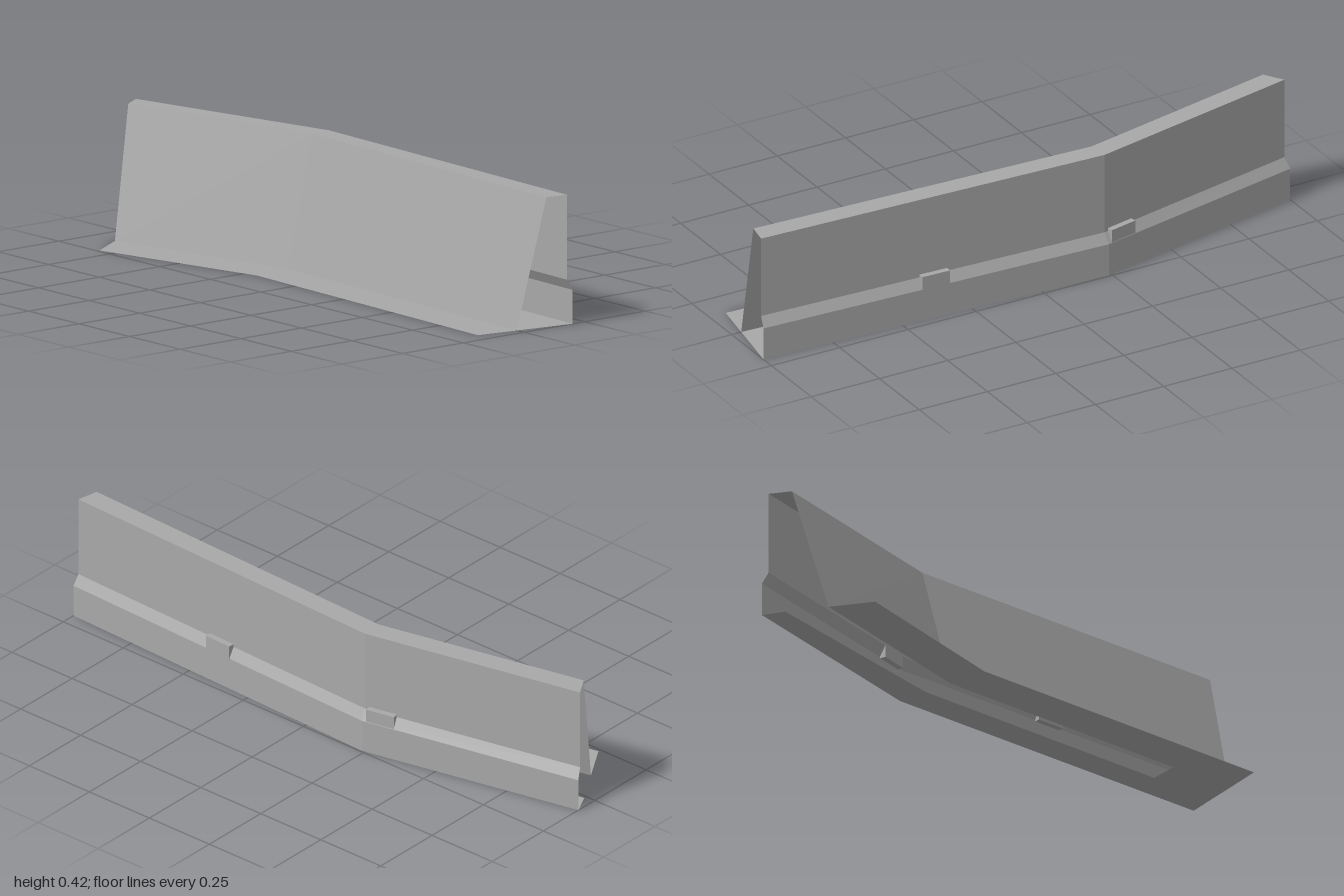
import * as THREE from 'three';

const concrete = new THREE.MeshStandardMaterial({ color: 0xa8a8a8, side: THREE.DoubleSide });
concrete.name = 'concrete grey';

// Long edges of the wall: points at the right end, the bend and the left end
const edges = {
  footFront: [[-0.81, 0, 0.24], [-0.2, 0, 0.1], [0.94, 0, 0.14]],
  panelBase: [[-0.89, 0, 0.11], [-0.215, 0, -0.04], [0.965, 0, 0]],
  panelTop: [[-0.95, 0.42, 0.005], [-0.23, 0.42, -0.153], [0.983, 0.42, -0.107]],
  backTop: [[-0.99, 0.42, -0.06], [-0.235, 0.42, -0.225], [0.997, 0.42, -0.18]],
  backLow: [[-0.99, 0.145, -0.06], [-0.235, 0.145, -0.225], [0.997, 0.145, -0.18]],
  curbTop: [[-1, 0.11, -0.08], [-0.24, 0.11, -0.245], [1, 0.11, -0.2]],
  curbBase: [[-1, 0, -0.08], [-0.24, 0, -0.245], [1, 0, -0.2]],
  floorInner: [[-0.965, 0, -0.01], [-0.23, 0, -0.14], [0.982, 0, -0.1]],
};

// A strip of quads between two edges
function strip(name, a, b) {
  const pos = [];
  for (let i = 0; i < a.length - 1; i++) {
    pos.push(...a[i], ...a[i + 1], ...b[i + 1], ...a[i], ...b[i + 1], ...b[i]);
  }
  const geo = new THREE.BufferGeometry();
  geo.setAttribute('position', new THREE.Float32BufferAttribute(pos, 3));
  geo.computeVertexNormals();
  const mesh = new THREE.Mesh(geo, concrete);
  mesh.name = name;
  return mesh;
}

// Point along the long arm of an edge, t = 0 at the bend and 1 at the left end
function along(edge, t) {
  return edge[1].map((v, k) => v + (edge[2][k] - v) * t);
}

export function createModel() {
  const group = new THREE.Group();
  group.name = 'bentWall';
  const e = edges;

  // Shell: foot, leaning front, top, back wall, curb and underside
  group.add(
    strip('footPlate', e.footFront, e.panelBase),
    strip('frontPanel', e.panelBase, e.panelTop),
    strip('topCap', e.panelTop, e.backTop),
    strip('backWall', e.backTop, e.backLow),
    strip('curbSlope', e.backLow, e.curbTop),
    strip('curbFace', e.curbTop, e.curbBase),
    strip('curbUnderside', e.curbBase, e.floorInner)
  );

  // Closed piece of floor at the left end
  group.add(strip('endFloor',
    [along(e.panelBase, 0.8), along(e.panelBase, 1)],
    [along(e.floorInner, 0.8), along(e.floorInner, 1)]));

  // Small raised blocks on the curb slope
  for (const [x, z, turn] of [[0.38, -0.213, -0.037], [-0.3, -0.221, 0.214]]) {
    const block = new THREE.Mesh(new THREE.BoxGeometry(0.1, 0.05, 0.02), concrete);
    block.name = 'curbBlock';
    block.position.set(x, 0.13, z);
    block.rotation.y = turn;
    group.add(block);
  }
  return group;
}
